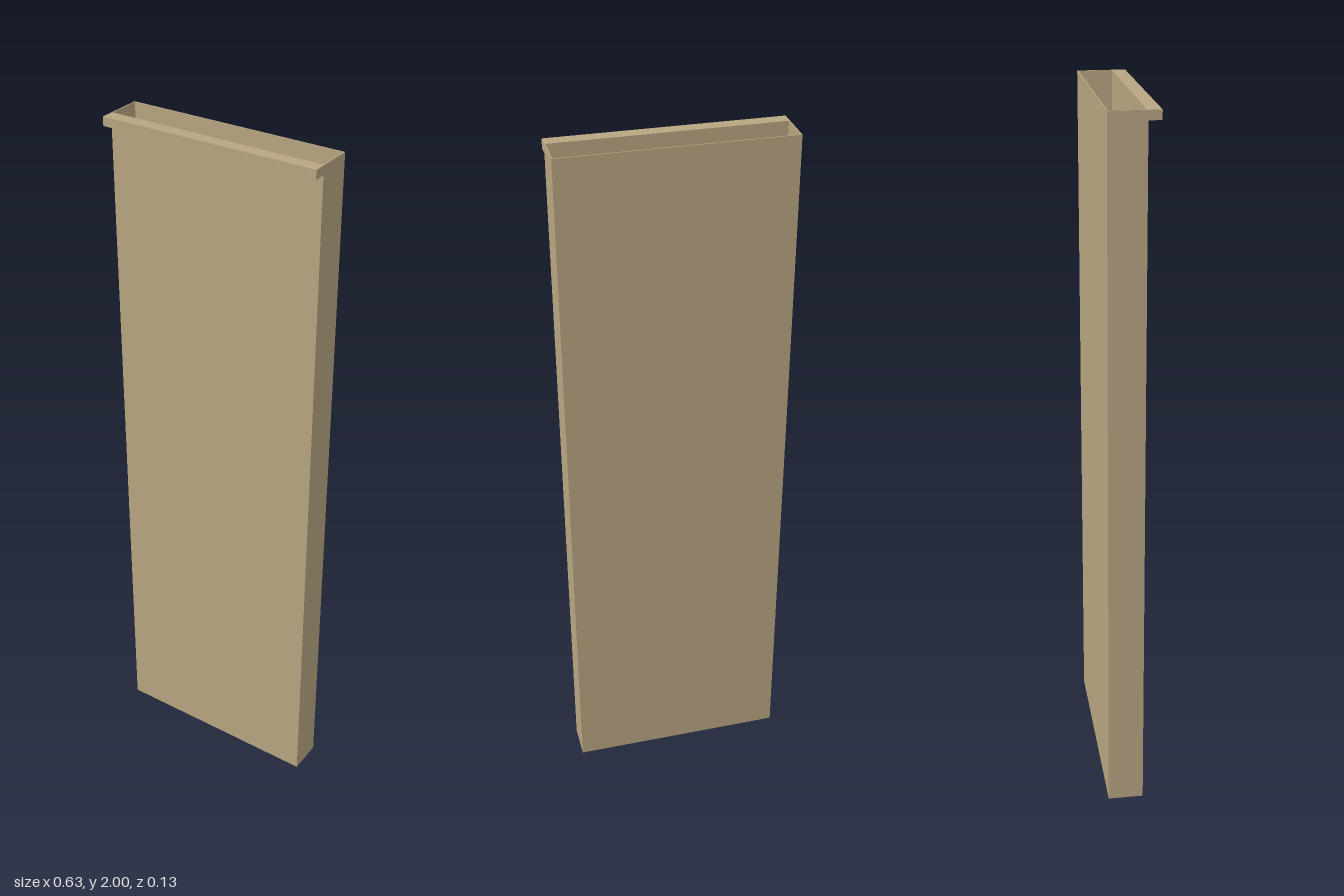
import * as THREE from 'three';

export function createModel() {
  const group = new THREE.Group();
  const tan = new THREE.MeshStandardMaterial({ color: 0xb8a682 });
  tan.name = 'tan sheet';

  const W = 0.626, H = 2, T = 0.003;      // width, height, sheet thickness
  const BACK = -0.067, FRONT = 0.033, LIP = 0.067;

  const panel = (name, w, h, d, x, y, z) => {
    const mesh = new THREE.Mesh(new THREE.BoxGeometry(w, h, d), tan);
    mesh.name = name;
    mesh.position.set(x, y, z);
    group.add(mesh);
  };

  // Thin walls of the open-topped tray
  const depth = FRONT - BACK - T;
  const midZ = (FRONT + BACK) / 2;
  panel('backWall', W, H, T, 0, H / 2, BACK + T / 2);
  panel('bottom', W - 2 * T, T, depth - T, 0, T / 2, midZ);
  for (const [name, side] of [['leftWall', 1], ['rightWall', -1]]) {
    panel(name, T, H, depth - T, side * (W - T) / 2, H / 2, midZ);
  }

  // Front wall and overhanging lip, one side profile swept across the width
  const profile = new THREE.Shape([
    [FRONT - T, 0], [FRONT + 0.001, 0], [FRONT, H - 0.025],
    [LIP, H - 0.025], [LIP, H], [FRONT - T, H],
  ].map(([z, y]) => new THREE.Vector2(-z, y)));
  const geometry = new THREE.ExtrudeGeometry(profile, { depth: W, bevelEnabled: false });
  geometry.translate(0, 0, -W / 2);
  geometry.rotateY(Math.PI / 2);
  const front = new THREE.Mesh(geometry, tan);
  front.name = 'frontWallWithLip';
  group.add(front);

  return group;
}
